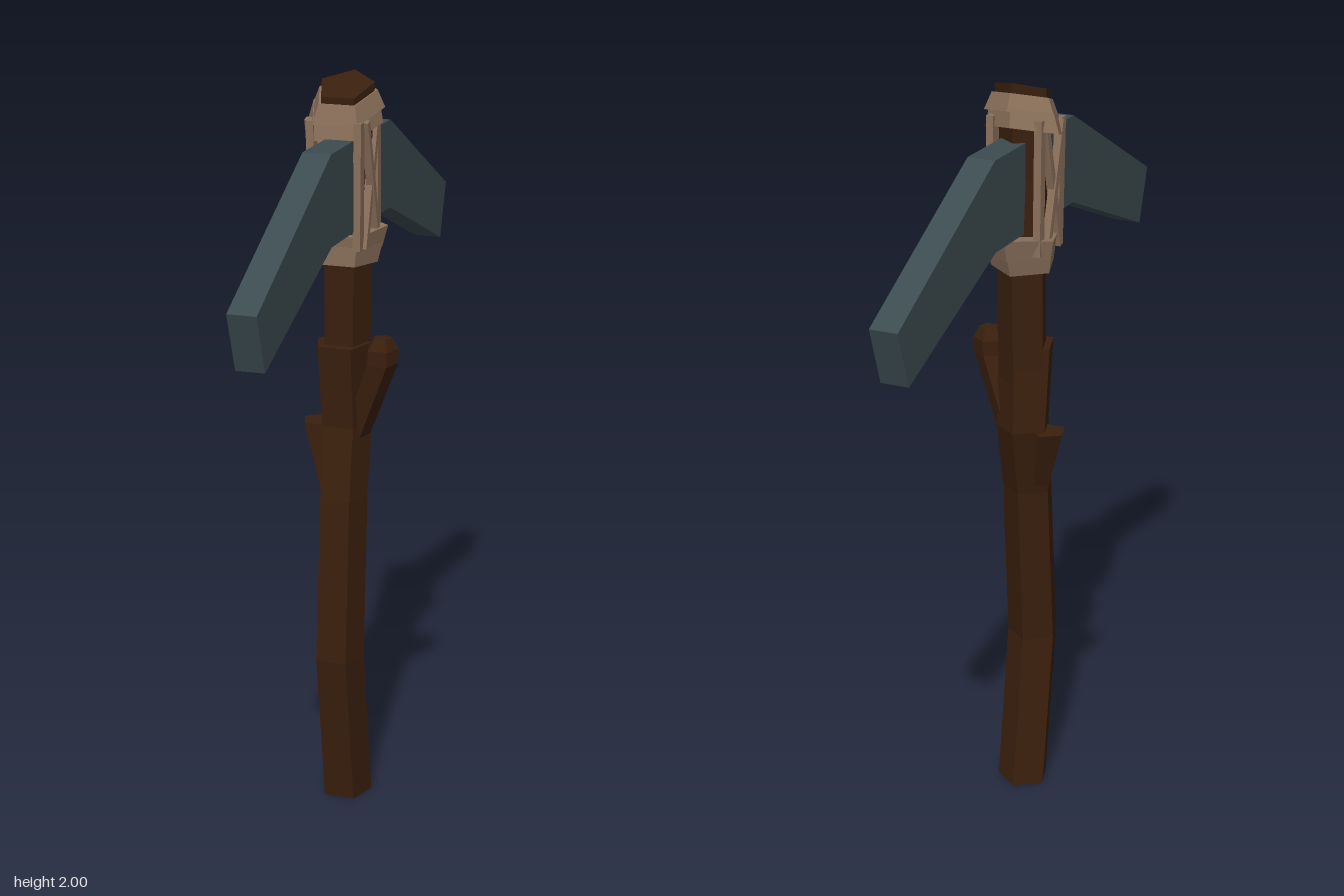
import * as THREE from 'three';

const SIDES = 5;
const mat = (color) => new THREE.MeshStandardMaterial({ color, flatShading: true, roughness: 0.9 });

// Five-sided loft; each section is [x, y, z, radius, tilt], tilt raising the back edge
function loft(sections) {
  const pos = [], idx = [];
  for (const [x, y, z, r, tilt = 0] of sections) {
    for (let i = 0; i < SIDES; i++) {
      const a = (i / SIDES) * Math.PI * 2;
      const dz = -Math.cos(a) * r;
      pos.push(x + Math.sin(a) * r, y - dz * tilt, z + dz);
    }
  }
  const last = (sections.length - 1) * SIDES;
  for (let s = 0; s < last; s += SIDES) {
    for (let i = 0; i < SIDES; i++) {
      const j = (i + 1) % SIDES;
      idx.push(s + i, s + SIDES + i, s + SIDES + j, s + i, s + SIDES + j, s + j);
    }
  }
  for (let i = 1; i < SIDES - 1; i++) {
    idx.push(0, i, i + 1, last, last + i + 1, last + i);
  }
  const g = new THREE.BufferGeometry();
  g.setAttribute('position', new THREE.Float32BufferAttribute(pos, 3));
  g.setIndex(idx);
  g.computeVertexNormals();
  return g;
}

export function createModel() {
  const group = new THREE.Group();
  const wood = mat(0x3a1f0d), stone = mat(0x3c4b50), cord = mat(0x8a705a);
  const add = (name, geometry, material, parent = group) => {
    const m = new THREE.Mesh(geometry, material);
    m.name = name;
    parent.add(m);
    return m;
  };

  // Crooked handle: thick lower length, thinner upper length
  add('lowerHandle', loft([
    [-0.01, 0, -0.007, 0.071],
    [-0.013, 0.43, 0.052, 0.071],
    [-0.015, 0.88, 0.013, 0.069],
    [-0.02, 1.07, -0.027, 0.073],
    [-0.02, 1.295, -0.005, 0.077],
  ]), wood);
  add('upperHandle', loft([
    [-0.017, 1.2, -0.022, 0.066],
    [-0.017, 1.5, -0.028, 0.067],
    [-0.014, 1.75, -0.012, 0.066],
    [-0.01, 1.972, -0.005, 0.075, 0.36],
  ]), wood);

  // Cut-off side branches
  add('leftBranch', loft([
    [0.01, 1.04, -0.025, 0.04],
    [0.09, 1.25, 0.002, 0.045],
    [0.092, 1.29, 0.002, 0.044],
    [0.094, 1.32, 0.002, 0.026],
  ]), wood);
  add('rightStub', loft([
    [-0.045, 0.87, 0.005, 0.03],
    [-0.09, 1.068, -0.03, 0.05],
  ]), wood);

  // Double-ended pick head, extruded across its thickness
  const half = [[0.235, 1.845], [0.755, 1.57], [0.705, 1.42], [0.235, 1.61]];
  const outline = [...half, ...half.map(([z, y]) => [-z, y]).reverse()];
  const shape = new THREE.Shape(outline.map(([z, y]) => new THREE.Vector2(z, y)));
  const headGeo = new THREE.ExtrudeGeometry(shape, { depth: 0.075, bevelEnabled: false });
  headGeo.rotateY(-Math.PI / 2).translate(0.036, 0, 0);
  add('pickHead', headGeo, stone);

  // Binding rings above and below the head
  const binding = new THREE.Group();
  binding.name = 'binding';
  group.add(binding);
  const rings = [
    [[-0.025, 1.865, -0.018, 0.106, 0.3], [-0.02, 1.915, -0.016, 0.094, 0.3]],
    [[-0.014, 1.905, -0.014, 0.102, 0.3], [-0.012, 1.952, -0.01, 0.082, 0.3]],
    [[-0.018, 1.51, -0.022, 0.086, -0.05], [-0.018, 1.56, -0.028, 0.096, -0.05]],
    [[-0.018, 1.545, -0.033, 0.094, 0.05], [-0.018, 1.6, -0.036, 0.108, 0.08]],
  ];
  rings.forEach((r) => add('bindingRing', loft(r), cord, binding));

  // Cords running past the head on both sides: two uprights and a cross
  const strip = (a, b, w) => {
    const p = new THREE.Vector3(...a), q = new THREE.Vector3(...b);
    const m = add('bindingCord', new THREE.BoxGeometry(0.02, p.distanceTo(q), w), cord, binding);
    m.position.copy(p).add(q).multiplyScalar(0.5);
    m.quaternion.setFromUnitVectors(new THREE.Vector3(0, 1, 0), q.sub(p).normalize());
  };
  for (const s of [-1, 1]) {
    const x = (out) => -0.017 + s * out;
    strip([x(0.06), 1.56, 0.05], [x(0.064), 1.89, 0.055], 0.03);
    strip([x(0.066), 1.56, -0.078], [x(0.066), 1.91, -0.07], 0.026);
    strip([x(0.07), 1.56, 0.035], [x(0.072), 1.89, -0.055], 0.018);
    strip([x(0.075), 1.56, -0.055], [x(0.075), 1.89, 0.04], 0.018);
  }
  return group;
}
